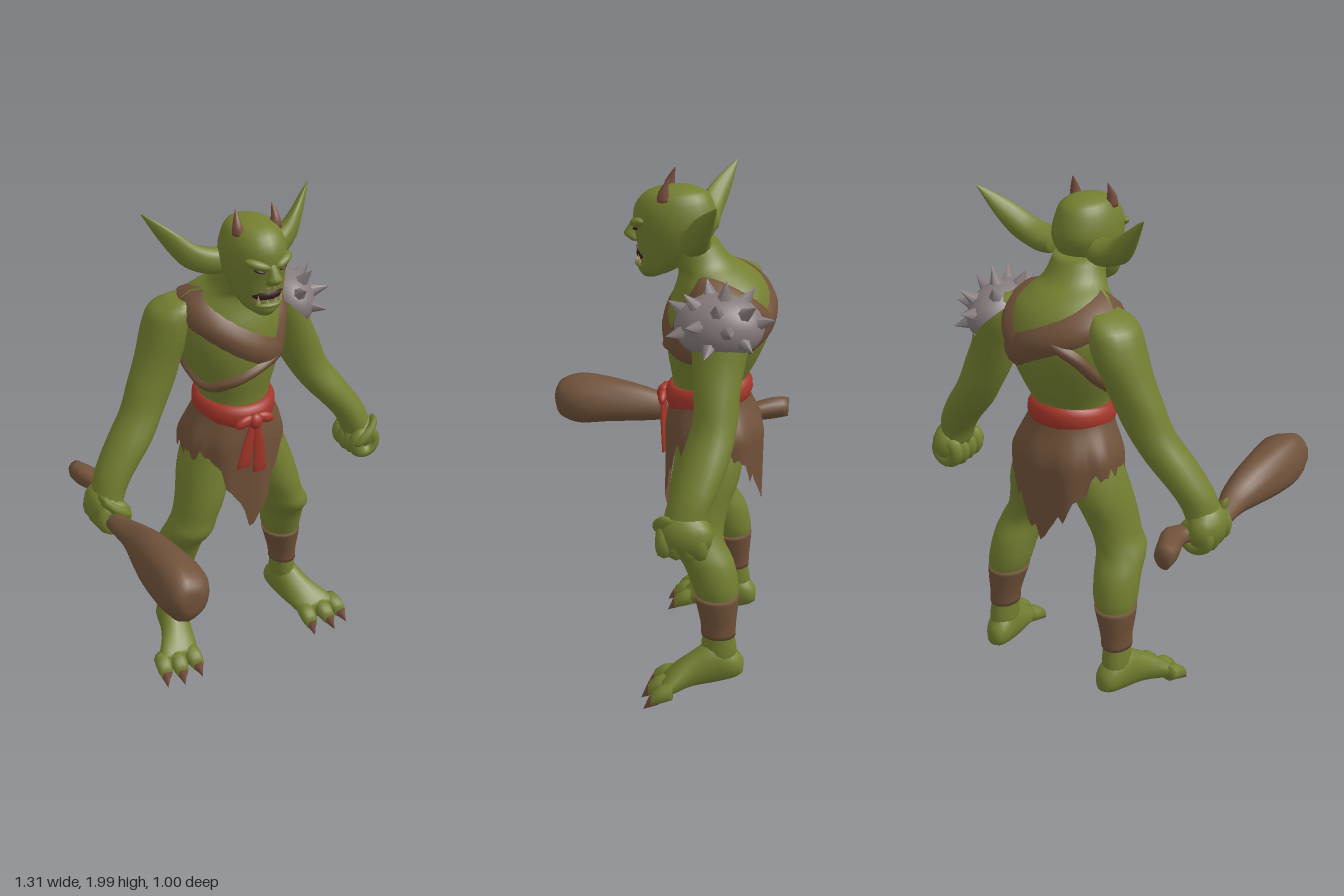
import * as THREE from 'three';

const V = (x, y, z) => new THREE.Vector3(x, y, z);
const mat = (name, color, side = THREE.FrontSide) => {
  const m = new THREE.MeshStandardMaterial({ color, side });
  m.name = name;
  return m;
};

// Smoothly subdivide cross-section rows [x, y, z, radiusA, radiusB]
function dense(rows, k = 3) {
  const n = (rows.length - 1) * k;
  const centre = new THREE.CatmullRomCurve3(rows.map(r => V(r[0], r[1], r[2])), false, 'catmullrom');
  const radii = new THREE.CatmullRomCurve3(rows.map(r => V(r[3], r[4], 0)), false, 'catmullrom');
  return Array.from({ length: n + 1 }, (_, i) => {
    const p = centre.getPoint(i / n), q = radii.getPoint(i / n);
    return [p.x, p.y, p.z, q.x, q.y];
  });
}
// The same rows with x scaled, used for mirroring
const flip = (rows, s) => dense(rows.map(([x, ...r]) => [x * s, ...r]));

// Closed solid through elliptical sections lying across the given axis
function loft(rows, axis = 'y', seg = 16, shape = (c, s) => [c, s]) {
  const [U, W] = { x: [V(0, 1, 0), V(0, 0, 1)], y: [V(1, 0, 0), V(0, 0, 1)], z: [V(1, 0, 0), V(0, 1, 0)] }[axis];
  const pts = [], idx = [], n = rows.length;
  rows.forEach((r, i) => {
    for (let j = 0; j < seg; j++) {
      const a = j / seg * Math.PI * 2, [c, s] = shape(Math.cos(a), Math.sin(a), a, i);
      pts.push(V(r[0], r[1], r[2]).addScaledVector(U, c * r[3]).addScaledVector(W, s * r[4]));
    }
  });
  pts.push(V(...rows[0]), V(...rows[n - 1]));
  for (let j = 0; j < seg; j++) {
    const k = (j + 1) % seg, e = (n - 1) * seg;
    for (let i = 0; i < n - 1; i++) {
      const a = i * seg + j, b = i * seg + k;
      idx.push(a, b, a + seg, b, b + seg, a + seg);
    }
    idx.push(n * seg, k, j, n * seg + 1, e + j, e + k);
  }
  // Turn the faces outward whichever way the rows run
  let vol = 0;
  for (let i = 0; i < idx.length; i += 3)
    vol += pts[idx[i]].dot(pts[idx[i + 1]].clone().cross(pts[idx[i + 2]]));
  if (vol < 0) idx.reverse();
  return surface(pts, idx);
}

function surface(pts, idx) {
  const g = new THREE.BufferGeometry().setFromPoints(pts);
  g.setIndex(idx);
  g.computeVertexNormals();
  return g;
}

export function createModel() {
  const root = new THREE.Group(), head = new THREE.Group();
  root.name = 'goblinWarrior';
  head.name = 'headGroup';
  head.position.x = 0.013;
  root.add(head);
  const skin = mat('greenSkin', 0x737e30);
  const leather = mat('brownLeather', 0x705139, THREE.DoubleSide);
  const wood = mat('clubWood', 0x70523a);
  const red = mat('redSash', 0xa5362a);
  const metal = mat('greyMetal', 0x857a7c, THREE.DoubleSide);
  const horn = mat('hornAndClaw', 0x774d3e);
  const dark = mat('darkMouth', 0x35201a);
  const ivory = mat('teeth', 0xa58a70);

  const add = (name, geo, m, parent = root) => {
    const mesh = new THREE.Mesh(geo, m);
    mesh.name = name;
    parent.add(mesh);
    return mesh;
  };
  const blob = (name, m, x, y, z, rx, ry, rz, parent = root) => {
    const b = add(name, new THREE.SphereGeometry(1, 14, 10), m, parent);
    b.position.set(x, y, z);
    b.scale.set(rx, ry, rz);
    return b;
  };
  const spike = (name, m, base, tip, r, sides = 7, parent = root) => {
    const d = tip.clone().sub(base);
    const c = add(name, new THREE.ConeGeometry(r, d.length(), sides), m, parent);
    c.position.copy(base).addScaledVector(d, 0.5);
    c.quaternion.setFromUnitVectors(V(0, 1, 0), d.normalize());
  };

  // Torso, hips and neck
  const torso = dense([
    [0, 0.96, -0.24, 0.13, 0.12], [0, 1.05, -0.24, 0.16, 0.14], [0, 1.15, -0.225, 0.143, 0.135],
    [0, 1.22, -0.225, 0.14, 0.138], [0, 1.32, -0.24, 0.175, 0.17], [0, 1.42, -0.255, 0.208, 0.192],
    [0, 1.52, -0.265, 0.222, 0.19], [0, 1.6, -0.26, 0.195, 0.16], [0, 1.65, -0.235, 0.145, 0.13],
    [0.005, 1.69, -0.19, 0.11, 0.11], [0.01, 1.76, -0.15, 0.09, 0.095]], 4);
  add('torso', loft(torso, 'y', 28), skin);

  // Point on the torso: angle 0 is the front, positive turns to the model's left
  const onTorso = (a, y, off) => {
    let i = 0;
    while (i < torso.length - 2 && torso[i + 1][1] < y) i++;
    const p = torso[i], q = torso[i + 1], t = (y - p[1]) / (q[1] - p[1]);
    const [, , z, rx, rz] = p.map((v, k) => v + (q[k] - v) * t);
    return V(Math.sin(a) * (rx + off), y + off * Math.max(0, (y - 1.55) * 8), z + Math.cos(a) * (rz + off));
  };
  // Padded leather strap along [angle, y] points on the torso
  const strap = (name, path, width) => {
    const R = 0.2, N = 64, pts = [], idx = [];
    const curve = new THREE.CatmullRomCurve3(path.map(([a, y]) => V(a * R, y, 0)));
    for (let i = 0; i <= N; i++) {
      const p = curve.getPoint(i / N), t = curve.getTangent(i / N);
      [-0.003, 0.014, 0.017, 0.014, -0.003].forEach((off, j) => {
        const w = (j / 4 - 0.5) * width;
        pts.push(onTorso((p.x - t.y * w) / R, p.y + t.x * w, off));
        if (i < N && j < 4) {
          const a = i * 5 + j;
          idx.push(a, a + 5, a + 1, a + 1, a + 5, a + 6);
        }
      });
    }
    add(name, surface(pts, idx), leather);
  };
  strap('mainStrap', [[-1.57, 1.615], [-0.85, 1.56], [0, 1.45], [0.6, 1.395], [1.1, 1.385], [1.57, 1.385],
    [2.4, 1.43], [3.14, 1.51], [4, 1.58], [4.71, 1.615]], 0.115);
  strap('leftShoulderStrap', [[0.75, 1.39], [0.95, 1.52], [1.4, 1.61], [2.1, 1.58], [2.7, 1.48]], 0.1);
  strap('lowerStrap', [[0.9, 1.38], [0.4, 1.37], [-0.5, 1.31], [-1.2, 1.28], [-1.9, 1.36], [-2.4, 1.47],
    [-2.8, 1.53]], 0.05);

  // Head
  add('head', loft(dense([
    [0, 1.618, -0.005, 0.03, 0.03], [0, 1.65, -0.03, 0.072, 0.072], [0, 1.7, -0.06, 0.096, 0.1],
    [0, 1.76, -0.085, 0.111, 0.133], [0, 1.82, -0.094, 0.117, 0.154], [0, 1.88, -0.092, 0.108, 0.144],
    [0, 1.93, -0.1, 0.083, 0.108], [0, 1.952, -0.11, 0.035, 0.045]]), 'y', 24), skin, head);
  add('nose', loft(dense([[0, 1.825, 0.045, 0.014, 0.015], [0, 1.79, 0.06, 0.021, 0.026],
    [0, 1.768, 0.066, 0.03, 0.028], [0, 1.748, 0.05, 0.024, 0.02]]), 'y', 10), skin, head);
  blob('mouth', dark, 0, 1.702, -0.008, 0.07, 0.036, 0.056, head);
  blob('lowerLip', skin, 0, 1.663, 0.004, 0.06, 0.016, 0.05, head);
  blob('chin', skin, 0, 1.645, 0.008, 0.042, 0.025, 0.033, head);
  for (const x of [-0.045, -0.016, 0.016, 0.045]) {
    const z = 0.048 - Math.abs(x) * 0.45, long = Math.abs(x) > 0.03 ? 0.035 : 0.02;
    spike('lowerTooth', ivory, V(x, 1.674, z), V(x * 1.05, 1.674 + long, z + 0.006), 0.009, 5, head);
    spike('upperTooth', ivory, V(x * 0.8, 1.733, z), V(x * 0.8, 1.71, z + 0.006), 0.008, 5, head);
  }

  for (const s of [-1, 1]) {
    const side = s > 0 ? 'left' : 'right';
    const stance = s > 0 ? 1.08 : 1, reach = s > 0 ? 1.015 : 1;

    // Brow, eye, ear and horn
    blob(side + 'Brow', skin, s * 0.05, 1.826, 0.036, 0.05, 0.018, 0.026, head).rotation.set(0, s * 0.45, s * 0.3);
    blob(side + 'Eye', dark, s * 0.046, 1.802, 0.04, 0.022, 0.007, 0.014, head).rotation.set(0, s * 0.4, s * 0.25);
    add(side + 'Ear', loft(flip([
      [0.08, 1.785, -0.155, 0.045, 0.07], [0.125, 1.785, -0.165, 0.05, 0.075], [0.18, 1.802, -0.175, 0.053, 0.064],
      [0.24, 1.842, -0.198, 0.056, 0.052], [0.295, 1.902, -0.236, 0.036, 0.032], [0.346, 1.966, -0.276, 0.004, 0.004]], s),
    'x', 16, (c, q) => [c, q > 0 ? 0.5 * q : q]), skin, head);
    add(side + 'Horn', loft(flip([[0.074, 1.912, -0.06, 0.025, 0.025], [0.078, 1.95, -0.062, 0.017, 0.017],
      [0.074, 1.998, -0.08, 0.002, 0.002]], s), 'y', 8), horn, head);

    // Arm from shoulder to wrist, the right elbow held a little further forward
    const fwd = s > 0 ? 0 : 0.02;
    add(side + 'Arm', loft(flip([
      [0.19, 1.62, -0.28, 0.04, 0.06], [0.225, 1.58, -0.29, 0.08, 0.1], [0.25, 1.5, -0.295, 0.09, 0.11],
      [0.285, 1.4, -0.29, 0.09, 0.095], [0.325, 1.3, -0.29 + fwd / 2, 0.094, 0.083],
      [0.372, 1.2, -0.29 + fwd, 0.088, 0.08], [0.44, 1.1, -0.268 + fwd, 0.09, 0.086],
      [0.515, 1.0, -0.238 + fwd / 2, 0.078, 0.08], [0.552, 0.93, -0.216, 0.066, 0.075],
      [0.575, 0.86, -0.21, 0.062, 0.08]], s * reach)), skin);

    // Fist with curled fingers and thumb
    blob(side + 'Palm', skin, s * reach * 0.58, 0.865, -0.218, 0.068, 0.085, 0.1);
    for (let i = 0; i < 4; i++) {
      const f = add(side + 'Finger', new THREE.TorusGeometry(0.044, 0.029, 8, 16), skin);
      f.position.set(s * reach * 0.568, 0.84 - 0.004 * (i % 3), -0.145 - i * 0.042);
    }
    add(side + 'Thumb', loft(flip([[0.615, 0.93, -0.15, 0.024, 0.027], [0.58, 0.895, -0.125, 0.026, 0.024],
      [0.535, 0.865, -0.12, 0.024, 0.02], [0.51, 0.85, -0.125, 0.01, 0.012]], s * reach), 'x', 10), skin);

    // Leg, shin wrap and foot
    add(side + 'Leg', loft(flip([
      [0.1, 1.08, -0.24, 0.065, 0.1], [0.112, 0.98, -0.245, 0.094, 0.125], [0.138, 0.88, -0.235, 0.1, 0.128],
      [0.165, 0.78, -0.215, 0.096, 0.116], [0.192, 0.7, -0.21, 0.087, 0.106], [0.215, 0.64, -0.215, 0.092, 0.108],
      [0.23, 0.57, -0.262, 0.088, 0.1], [0.24, 0.48, -0.292, 0.084, 0.09], [0.248, 0.41, -0.302, 0.066, 0.076],
      [0.258, 0.3, -0.31, 0.05, 0.06], [0.262, 0.2, -0.315, 0.052, 0.07], [0.265, 0.13, -0.31, 0.045, 0.06]],
    s * stance)), skin);
    add(side + 'ShinWrap', loft(flip([[0.244, 0.44, -0.298, 0.081, 0.088], [0.25, 0.39, -0.303, 0.072, 0.08],
      [0.256, 0.32, -0.309, 0.059, 0.069], [0.259, 0.27, -0.311, 0.057, 0.067]], s * stance)), leather);
    add(side + 'Foot', loft(flip([
      [0.255, 0.13, -0.41, 0.025, 0.03], [0.258, 0.14, -0.375, 0.05, 0.062], [0.268, 0.15, -0.3, 0.06, 0.094],
      [0.288, 0.122, -0.22, 0.07, 0.074], [0.322, 0.088, -0.145, 0.088, 0.05], [0.335, 0.07, -0.11, 0.082, 0.033]],
    s * stance), 'z'), skin);
    for (const [x, dx, z] of [[0.272, -0.004, -0.065], [0.338, 0.008, -0.055], [0.395, 0.014, -0.075]]) {
      add(side + 'Toe', loft(flip([[x, 0.082, z - 0.08, 0.034, 0.034], [x + dx * 0.5, 0.07, z - 0.035, 0.036, 0.037],
        [x + dx, 0.05, z, 0.026, 0.027]], s * stance), 'z', 10), skin);
      spike(side + 'ToeClaw', horn, V(s * stance * (x + dx), 0.05, z - 0.012),
        V(s * stance * (x + dx * 1.8), 0.008, z + 0.03), 0.026);
    }
  }

  // Ragged loincloth with a pointed flap at front and back
  const skirt = new THREE.CylinderGeometry(1, 1, 1, 72, 12, true), sp = skirt.attributes.position;
  for (let i = 0; i < sp.count; i++) {
    const a = Math.atan2(sp.getX(i), sp.getZ(i)), t = 0.5 - sp.getY(i), b = Math.abs(a);
    const rag = 0.018 * Math.sin(a * 17) + 0.014 * Math.sin(a * 29 + 1);
    const hem = 0.985 + rag - 0.33 * Math.max(0, 1 - b / 0.8) - 0.26 * Math.max(0, 1 - (Math.PI - b) / 1.05);
    const y = 1.19 + (hem - 1.19) * t;
    const k = THREE.MathUtils.smoothstep(1.2 - y, 0, 0.18), fold = 1 + 0.025 * k * Math.sin(a * 9);
    sp.setXYZ(i, Math.sin(a) * (0.152 + 0.064 * k) * fold, y,
      -0.23 - 0.022 * k + Math.cos(a) * (0.145 + 0.04 * k) * fold);
  }
  skirt.computeVertexNormals();
  add('loincloth', skirt, leather);

  // Red sash, raised at the back, with knot and hanging ends
  const ring = Array.from({ length: 20 }, (_, i) => {
    const a = i / 20 * Math.PI * 2;
    return V(0.136 * Math.sin(a), (1.175 - 0.022 * Math.cos(a)) / 1.8, -0.225 + 0.138 * Math.cos(a));
  });
  const sash = new THREE.TubeGeometry(new THREE.CatmullRomCurve3(ring, true), 60, 0.027, 10, true);
  add('sash', sash.scale(1, 1.8, 1), red);
  blob('sashKnot', red, 0, 1.145, -0.052, 0.03, 0.034, 0.026);
  for (const s of [-1, 1])
    blob('sashBow', red, s * 0.045, 1.15, -0.055, 0.042, 0.022, 0.017).rotation.z = -s * 0.35;
  for (const [x, y] of [[-0.05, 0.95], [0.022, 0.915]])
    add('sashEnd', loft(dense([[x * 0.2, 1.14, -0.05, 0.014, 0.01], [x * 0.7, 1.04, -0.052, 0.024, 0.009],
      [x, y, -0.058, 0.03, 0.007]]), 'y', 10), red);

  // Spiked pauldron on the left shoulder
  const pauldron = new THREE.Group();
  pauldron.name = 'pauldron';
  pauldron.position.set(0.254, 1.52, -0.285);
  pauldron.rotation.z = -0.8;
  root.add(pauldron);
  const dome = add('pauldronDome', new THREE.SphereGeometry(1, 24, 10, 0, Math.PI * 2, 0, Math.PI * 0.54), metal, pauldron);
  dome.scale.set(0.118, 0.112, 0.16);
  for (const [count, tilt, len] of [[1, 0, 0.06], [5, 0.65, 0.065], [7, 1.2, 0.055]])
    for (let i = 0; i < count; i++) {
      const a = (i + tilt) / count * Math.PI * 2;
      const d = V(Math.sin(tilt) * Math.cos(a), Math.cos(tilt), Math.sin(tilt) * Math.sin(a));
      const p = d.clone().multiply(dome.scale);
      spike('pauldronSpike', metal, p.clone().addScaledVector(d, -0.025), p.addScaledVector(d, len), 0.034, 6, pauldron);
    }

  // Knotty wooden club held in the right hand
  add('club', loft(dense([
    [-0.57, 0.85, 0.5, 0.035, 0.04], [-0.565, 0.845, 0.475, 0.072, 0.083], [-0.56, 0.845, 0.4, 0.097, 0.108],
    [-0.558, 0.85, 0.28, 0.096, 0.098], [-0.555, 0.85, 0.15, 0.08, 0.08], [-0.555, 0.842, 0.02, 0.056, 0.055],
    [-0.578, 0.84, -0.1, 0.036, 0.04], [-0.57, 0.84, -0.22, 0.034, 0.036], [-0.518, 0.855, -0.33, 0.045, 0.036],
    [-0.55, 0.865, -0.43, 0.045, 0.045], [-0.568, 0.868, -0.498, 0.034, 0.042]]), 'z', 18, (c, q, a, i) => {
    const k = 1 + 0.05 * Math.sin(3 * a + i * 0.25) + 0.03 * Math.sin(5 * a - i * 0.4);
    return [c * k, q * k];
  }), wood);

  return root;
}
